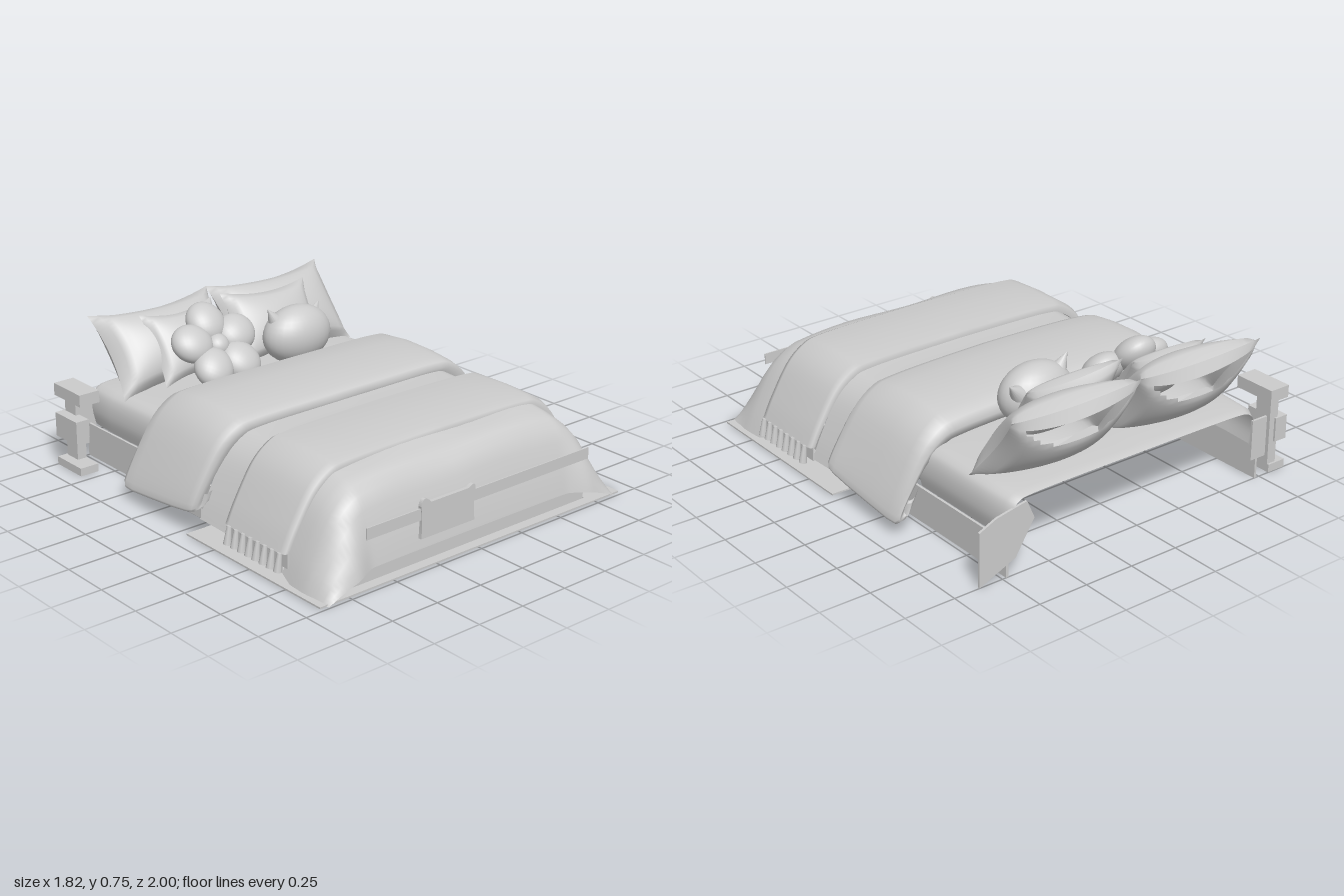
import * as THREE from 'three';

const material = new THREE.MeshStandardMaterial({ color: 0xcccccc, side: THREE.DoubleSide });

function add(parent, name, geometry, x = 0, y = 0, z = 0) {
  const mesh = new THREE.Mesh(geometry, material);
  mesh.name = name;
  mesh.position.set(x, y, z);
  parent.add(mesh);
  return mesh;
}

// Box given by its min and max corners
function box(parent, name, [x0, y0, z0], [x1, y1, z1]) {
  return add(parent, name, new THREE.BoxGeometry(x1 - x0, y1 - y0, z1 - z0),
    (x0 + x1) / 2, (y0 + y1) / 2, (z0 + z1) / 2);
}

// Half cross-sections: sideways 0..1 from the middle, height 1..0 from top to hem
const DRAPE = [[0, 1], [0.4, 0.99], [0.62, 0.97], [0.72, 0.92], [0.83, 0.71], [0.94, 0.29], [1, 0]];
const FOLDED = [...DRAPE, [0.985, -0.05], [0.95, 0.0], [0.93, 0.15]];
const MATTRESS = [[0, 1], [0.5, 1], [0.85, 0.98], [0.95, 0.9], [0.99, 0.7], [1, 0.35], [0.98, 0]];

// Cloth shell lofted over stations [z, half width, top, hem]
function cloth(half, stations, bend) {
  const curve = new THREE.SplineCurve(half.map(([a, b]) => new THREE.Vector2(a, b)));
  const right = curve.getPoints(28);
  const section = [...right.slice(1).reverse(), ...right.map(p => new THREE.Vector2(-p.x, p.y))];
  const n = section.length, pos = [], index = [];
  stations.forEach(([z, w, top, hem], i) => {
    section.forEach((p, j) => {
      const v = new THREE.Vector3(p.x * w, hem + p.y * (top - hem), z);
      if (bend) bend(v);
      pos.push(v.x, v.y, v.z);
      if (i && j) {
        const a = (i - 1) * n + j - 1, b = i * n + j - 1;
        index.push(a, a + 1, b, a + 1, b + 1, b);
      }
    });
  });
  const g = new THREE.BufferGeometry();
  g.setAttribute('position', new THREE.Float32BufferAttribute(pos, 3));
  g.setIndex(index);
  g.computeVertexNormals();
  return g;
}

// Pincushion pillow, leaned back and cut off open at the wall plane z = -1
function pillow(w, h, t, center, lean, roll = 0) {
  const g = new THREE.BoxGeometry(2, 2, 2, 20, 20, 1);
  const p = g.attributes.position;
  const turn = new THREE.Matrix4().makeRotationX(-lean)
    .multiply(new THREE.Matrix4().makeRotationZ(roll)).setPosition(...center);
  const v = new THREE.Vector3();
  for (let i = 0; i < p.count; i++) {
    const a = p.getX(i), b = p.getY(i), s = Math.sign(p.getZ(i));
    const puff = Math.pow(Math.max(0, (1 - a * a) * (1 - b * b)), 0.45);
    v.set(a * w / 2 * (1 - 0.09 * (1 - b * b)), b * h / 2 * (1 - 0.2 * (1 - a * a)), s * puff * t / 2);
    v.applyMatrix4(turn);
    p.setXYZ(i, v.x, v.y, Math.max(v.z, -1));
  }
  const old = g.index.array, kept = [];
  for (let i = 0; i < old.length; i += 3) {
    const tri = [old[i], old[i + 1], old[i + 2]];
    if (tri.some(k => p.getZ(k) > -0.9999)) kept.push(...tri);
  }
  g.setIndex(kept);
  g.computeVertexNormals();
  return g;
}

export function createModel() {
  const bed = new THREE.Group();
  bed.name = 'bed';

  // Bed frame, open underneath and at the head
  for (const s of [-1, 1]) box(bed, 'sideRail', [s * 0.725 - 0.006, 0, -1], [s * 0.725 + 0.006, 0.17, 0.92]);
  box(bed, 'footRail', [-0.73, 0.0, 0.91], [0.73, 0.07, 0.92]);

  // Remnants of the headboard at both sides
  const wing = new THREE.Shape([[0.87, 0], [0.87, 0.26], [0.78, 0.3], [0.62, 0.33], [0.58, 0.24], [0.68, 0.08]]
    .map(([x, y]) => new THREE.Vector2(x, y)));
  add(bed, 'headboardWing', new THREE.ExtrudeGeometry(wing, { depth: 0.012, bevelEnabled: false }), 0, 0, -1);
  box(bed, 'headboardEdge', [-0.78, 0.1, -1], [-0.69, 0.3, -0.988]);

  // Mattress showing at the head end
  add(bed, 'mattress', cloth(MATTRESS, [[-1, 0.7, 0.36, 0.17], [-0.96, 0.72, 0.375, 0.17],
    [-0.8, 0.73, 0.38, 0.17], [-0.5, 0.73, 0.385, 0.17], [-0.38, 0.73, 0.38, 0.17]]));

  // Duvet: a band between the blankets, hems along the sides, and the end
  // falling over the foot with its corners flaring to the floor
  add(bed, 'duvetBand', cloth(DRAPE, [[0.07, 0.85, 0.455, 0.07], [0.2, 0.85, 0.45, 0.068], [0.3, 0.85, 0.455, 0.065]]));
  for (const s of [-1, 1]) {
    box(bed, 'duvetHem', [s * 0.845 - 0.005, 0.075, -0.4], [s * 0.845 + 0.005, 0.14, 0.08]);
    box(bed, 'duvetHem', [s * 0.85 - 0.005, 0.06, 0.29], [s * 0.85 + 0.005, 0.14, 0.7]);
  }
  add(bed, 'duvetFoot', cloth(DRAPE, [
    [0.67, 0.86, 0.465, 0.03], [0.76, 0.88, 0.45, 0], [0.82, 0.885, 0.43, 0], [0.86, 0.885, 0.395, 0],
    [0.89, 0.88, 0.33, 0], [0.92, 0.88, 0.23, 0], [0.94, 0.875, 0.14, 0], [0.95, 0.87, 0.08, 0]],
  v => {
    const corner = THREE.MathUtils.smoothstep(Math.abs(v.x), 0.58, 0.72);
    const foot = THREE.MathUtils.smoothstep(v.z, 0.84, 0.95);
    v.z += 0.042 * corner * foot;
    v.y += 0.006 * Math.sin(v.x * 9 + v.z * 14) * (1 - foot) * Math.min(1, v.y * 3);
  }));

  // Throw blanket with tassels along both hems
  add(bed, 'throwBlanket', cloth(DRAPE, [[0.285, 0.845, 0.45, 0.13], [0.285, 0.868, 0.485, 0.13],
    [0.31, 0.875, 0.5, 0.13], [0.5, 0.875, 0.505, 0.125], [0.67, 0.875, 0.495, 0.13],
    [0.7, 0.868, 0.48, 0.13], [0.7, 0.845, 0.45, 0.13]]));
  const tassel = new THREE.CylinderGeometry(0.011, 0.02, 0.085, 8);
  for (const s of [-1, 1]) {
    for (let i = 0; i < 8; i++) {
      add(bed, 'tassel', tassel, s * 0.883, 0.092, 0.325 + i * 0.05).rotation.z = s * 0.15;
    }
  }

  // Thick folded cover across the middle
  add(bed, 'foldedCover', cloth(FOLDED, [[-0.38, 0.8, 0.38, 0.14], [-0.43, 0.87, 0.4, 0.11],
    [-0.44, 0.89, 0.44, 0.1], [-0.42, 0.902, 0.48, 0.085], [-0.36, 0.905, 0.51, 0.085],
    [-0.2, 0.905, 0.525, 0.1], [-0.05, 0.905, 0.52, 0.115], [0.06, 0.905, 0.505, 0.13],
    [0.1, 0.902, 0.49, 0.14], [0.12, 0.89, 0.465, 0.15], [0.1, 0.84, 0.43, 0.16]],
  v => { v.z += 0.012 * Math.cos(v.x * 3) - 0.006; }));

  // Big pillows against the wall
  for (const s of [-1, 1]) add(bed, 'pillow', pillow(0.71, 0.46, 0.27, [s * 0.35, 0.535, -0.855], 0.69));

  // Cushions
  add(bed, 'smallCushion', pillow(0.43, 0.38, 0.15, [-0.295, 0.555, -0.745], 0.6));
  add(bed, 'wideCushion', pillow(0.52, 0.38, 0.17, [0.2, 0.56, -0.715], 0.55, -0.05));

  // Flower cushion
  const flower = new THREE.Group();
  flower.name = 'flowerCushion';
  flower.position.set(-0.235, 0.565, -0.595);
  flower.rotation.x = -0.78;
  const ball = new THREE.SphereGeometry(1, 28, 18);
  for (let i = 0; i < 5; i++) {
    const a = Math.PI / 2 + i * Math.PI * 2 / 5;
    const petal = add(flower, 'petal', ball, Math.cos(a) * 0.134, Math.sin(a) * 0.13, 0);
    petal.scale.set(0.108, 0.1, 0.068);
    petal.rotation.z = a;
  }
  add(flower, 'flowerCenter', ball).scale.set(0.06, 0.06, 0.055);
  bed.add(flower);

  // Round cushion with two ears
  add(bed, 'roundCushion', ball, 0.21, 0.54, -0.54).scale.set(0.19, 0.145, 0.125);
  const ear = new THREE.ConeGeometry(0.045, 0.1, 16);
  add(bed, 'ear', ear, 0.375, 0.615, -0.6).rotation.set(-0.4, 0, -0.8);
  add(bed, 'ear', ear, 0.07, 0.655, -0.555).rotation.set(0, 0, 0.6);

  // Bedside table
  const table = new THREE.Group();
  table.name = 'bedsideTable';
  box(table, 'tableTop', [-0.91, 0.36, -1], [-0.8, 0.42, -0.78]);
  box(table, 'tablePanel', [-0.86, 0.04, -0.99], [-0.81, 0.36, -0.9]);
  box(table, 'tableShelf', [-0.91, 0.15, -1], [-0.84, 0.27, -0.82]);
  box(table, 'tableFoot', [-0.91, 0, -1], [-0.81, 0.04, -0.8]);
  bed.add(table);

  // Thin rug around the foot and sides
  for (const s of [-1, 1]) box(bed, 'rugSide', [s * 0.82 - 0.09, 0, 0.05], [s * 0.82 + 0.09, 0.008, 0.98]);
  box(bed, 'rugFoot', [-0.73, 0, 0.93], [0.73, 0.008, 0.98]);

  // Bench slat at the foot, with an eared plate on it
  box(bed, 'benchSlat', [-0.67, 0.245, 0.99], [0.67, 0.3, 0.996]);
  const plate = new THREE.Shape();
  plate.moveTo(-0.365, 0.157);
  plate.lineTo(-0.05, 0.157);
  plate.quadraticCurveTo(-0.062, 0.24, -0.05, 0.3);
  plate.quadraticCurveTo(-0.045, 0.35, -0.09, 0.318);
  plate.lineTo(-0.31, 0.318);
  plate.quadraticCurveTo(-0.355, 0.37, -0.368, 0.31);
  plate.quadraticCurveTo(-0.355, 0.24, -0.365, 0.157);
  add(bed, 'earedPlate', new THREE.ExtrudeGeometry(plate, { depth: 0.018, bevelEnabled: false }), 0, 0, 0.982);

  return bed;
}
